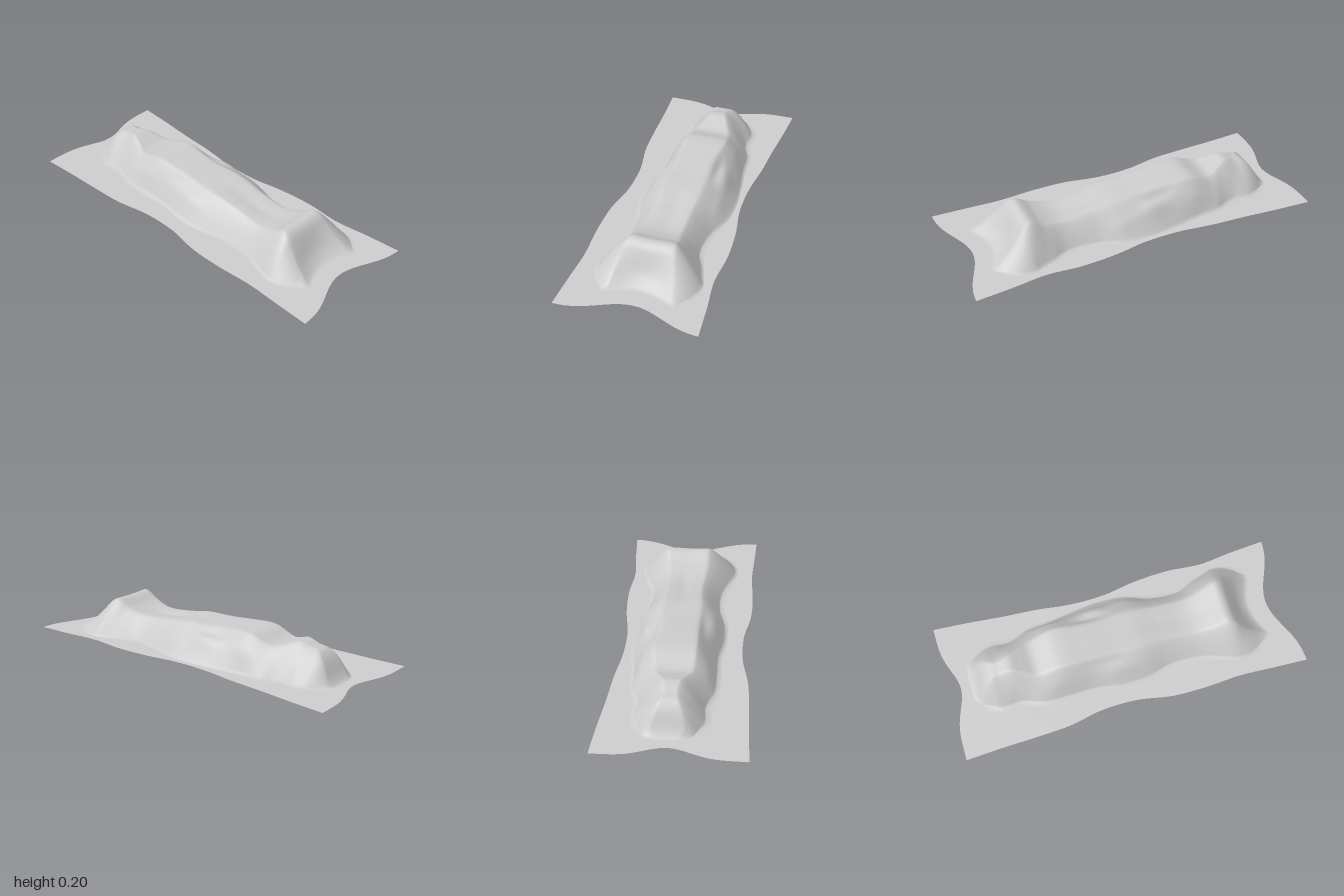
import * as THREE from 'three';

// Hump sections: z, left foot, left crest, right crest, right foot, height
const SECTIONS = [
  [-1.00, -0.08, -0.02, 0.07, 0.14, 0],
  [-0.87, -0.08, -0.03, 0.08, 0.14, 0],
  [-0.84, -0.11, -0.06, 0.10, 0.15, 0.03],
  [-0.79, -0.14, -0.05, 0.08, 0.18, 0.115],
  [-0.75, -0.165, -0.03, 0.06, 0.20, 0.155],
  [-0.70, -0.17, -0.02, 0.045, 0.21, 0.168],
  [-0.63, -0.165, -0.03, 0.055, 0.20, 0.186],
  [-0.57, -0.18, -0.05, 0.08, 0.21, 0.168],
  [-0.50, -0.205, -0.08, 0.11, 0.24, 0.148],
  [-0.37, -0.21, -0.09, 0.13, 0.25, 0.188],
  [-0.20, -0.21, -0.09, 0.12, 0.275, 0.183],
  [-0.05, -0.235, -0.09, 0.12, 0.29, 0.170],
  [0.10, -0.23, -0.09, 0.12, 0.28, 0.163],
  [0.25, -0.195, -0.08, 0.115, 0.23, 0.140],
  [0.42, -0.20, -0.09, 0.115, 0.22, 0.128],
  [0.52, -0.23, -0.10, 0.13, 0.26, 0.155],
  [0.60, -0.26, -0.10, 0.14, 0.285, 0.198],
  [0.64, -0.27, -0.11, 0.145, 0.30, 0.185],
  [0.71, -0.265, -0.125, 0.155, 0.295, 0.130],
  [0.775, -0.24, -0.14, 0.165, 0.27, 0.080],
  [0.835, -0.21, -0.15, 0.175, 0.235, 0.035],
  [0.89, -0.19, -0.16, 0.18, 0.21, 0],
  [1.00, -0.19, -0.16, 0.18, 0.21, 0],
];

// Sheet outline: z, left edge, right edge
const OUTLINE = [
  [-1.0, -0.40, 0.40], [-0.8, -0.39, 0.385], [-0.6, -0.385, 0.365], [-0.4, -0.375, 0.35],
  [-0.2, -0.34, 0.325], [0, -0.34, 0.325], [0.2, -0.375, 0.355], [0.4, -0.38, 0.365],
  [0.6, -0.37, 0.35], [0.8, -0.38, 0.37], [1.0, -0.39, 0.385],
];

// Soft folds over arms and legs: x, z, x radius, z radius, height
const FOLDS = [
  [0.21, -0.10, 0.035, 0.09, 0.022], [0.15, -0.15, 0.025, 0.10, -0.018],
  [0.21, -0.38, 0.04, 0.08, 0.015], [-0.17, -0.40, 0.04, 0.08, 0.012],
  [-0.18, -0.04, 0.04, 0.10, 0.015], [-0.12, -0.12, 0.025, 0.12, -0.01],
  [0.02, 0.28, 0.04, 0.18, -0.008], [0.23, 0.08, 0.03, 0.09, 0.01],
  [0.02, 0.60, 0.09, 0.06, -0.004],
];

// Smooth interpolation down the length of a table
function spline(rows) {
  const size = rows[0].length - 1;
  const curve = new THREE.CubicInterpolant(
    rows.map(r => r[0]), rows.flatMap(r => r.slice(1)), size, new Float32Array(size));
  return z => Array.from(curve.evaluate(z));
}

function sheetGeometry() {
  const section = spline(SECTIONS), outline = spline(OUTLINE);
  const ROWS = 200, BANDS = [6, 14, 14, 14, 6];
  const positions = [], indices = [];
  let columns = 0;

  for (let i = 0; i <= ROWS; i++) {
    const z = -0.999 + 1.997 * i / ROWS;
    const [footL, crestL, crestR, footR, height] = section(z);
    const [edgeL, edgeR] = outline(z);
    const marks = [edgeL, footL, crestL, crestR, footR, edgeR];
    columns = 0;

    const addPoint = (x, t) => {
      // Straight flanks, rounded at the crest
      let y = Math.max(height, 0) * (1 - Math.pow(1 - t, 1.3));
      const mask = Math.min(1, t * 2.5) * THREE.MathUtils.clamp(height / 0.1, 0, 1);
      for (const [fx, fz, rx, rz, h] of FOLDS) {
        y += mask * h * Math.exp(-(((x - fx) / rx) ** 2) - ((z - fz) / rz) ** 2);
      }
      // Both ends of the sheet curve inward at the middle
      const c = Math.cos(Math.PI / 2 * Math.min(1, Math.abs(x - 0.01) / 0.4));
      const front = 0.105 * c ** 2.6 * THREE.MathUtils.smoothstep(z, 0.6, 0.87);
      const back = 0.068 * c ** 5 * (1 - THREE.MathUtils.smoothstep(z, -1, -0.86));
      positions.push(x, 0.003 + y, z - front + back);
      columns++;
    };

    BANDS.forEach((n, b) => {
      for (let k = b === 0 ? 0 : 1; k <= n; k++) {
        const s = k / n;
        const t = [0, s, 1, 1 - s, 0][b];
        addPoint(THREE.MathUtils.lerp(marks[b], marks[b + 1], s), t);
      }
    });
  }

  for (let i = 0; i < ROWS; i++) {
    for (let j = 0; j < columns - 1; j++) {
      const a = i * columns + j, b = a + columns;
      indices.push(a, b, a + 1, b, b + 1, a + 1);
    }
  }
  const geometry = new THREE.BufferGeometry();
  geometry.setAttribute('position', new THREE.Float32BufferAttribute(positions, 3));
  geometry.setIndex(indices);
  geometry.computeVertexNormals();
  return geometry;
}

export function createModel() {
  const group = new THREE.Group();
  group.name = 'coveredFigure';
  const cloth = new THREE.MeshStandardMaterial({ color: 0xcccccc, side: THREE.DoubleSide });
  cloth.name = 'pale grey cloth';
  const sheet = new THREE.Mesh(sheetGeometry(), cloth);
  sheet.name = 'drapedSheet';
  group.add(sheet);
  return group;
}
